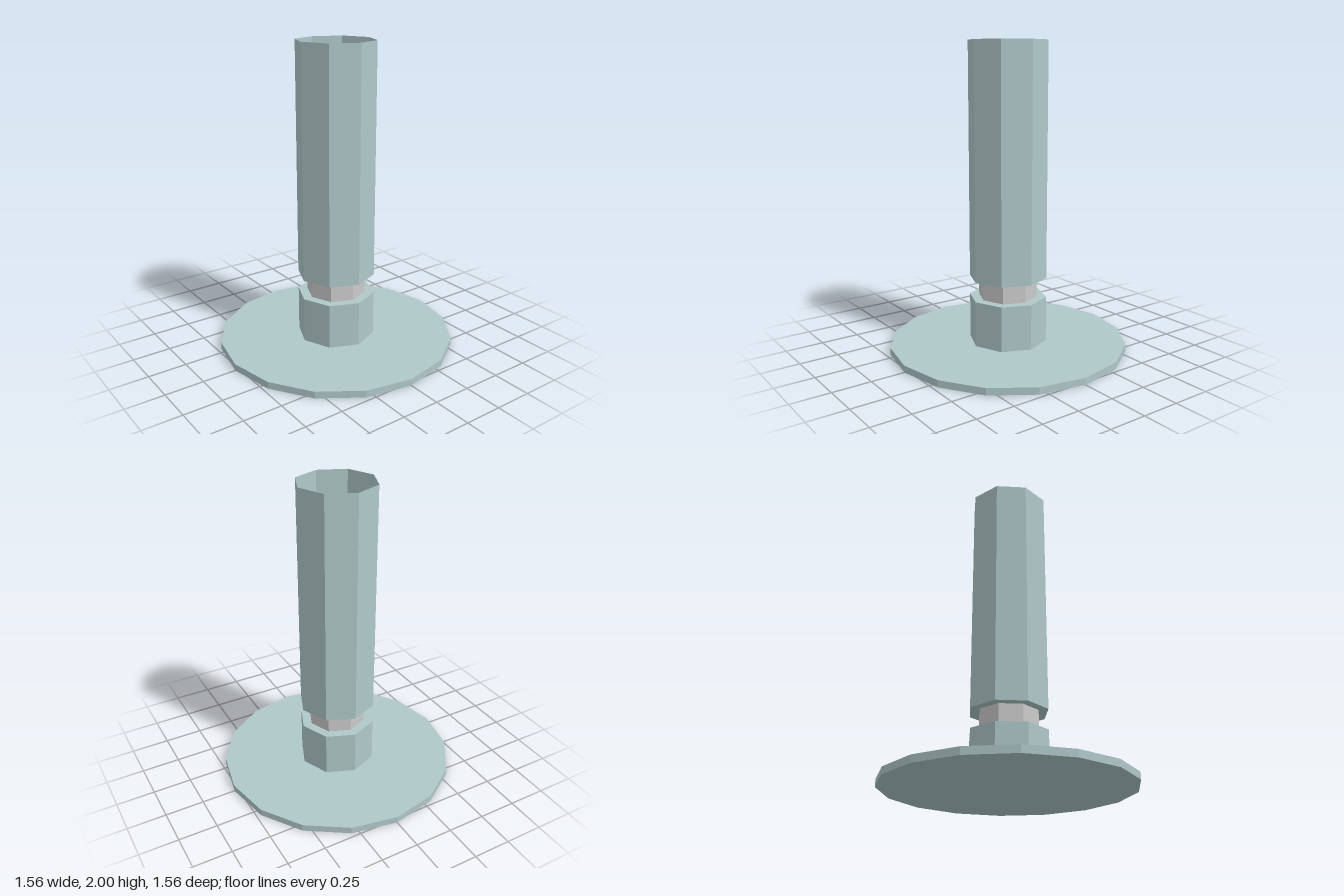
import * as THREE from 'three';

const PLATE_R = 0.78, TUBE_R = 0.255, NECK_R = 0.193;
const PLATE_TOP = 0.045, COLLAR_TOP = 0.343, TUBE_BOTTOM = 0.473, TUBE_TOP = 2;

const material = (color) =>
  new THREE.MeshStandardMaterial({ color, flatShading: true, side: THREE.DoubleSide });

// Eight-sided thin shell from a [radius, height] profile
function shell(name, profile, mat) {
  const points = profile.map(([r, y]) => new THREE.Vector2(r, y));
  const mesh = new THREE.Mesh(new THREE.LatheGeometry(points, 8), mat);
  mesh.name = name;
  return mesh;
}

export function createModel() {
  const model = new THREE.Group();
  model.name = 'tubeOnRoundBase';
  const teal = material(0xb0c8c9);
  const grey = material(0xcccccc);

  // Round base plate
  const plate = new THREE.Mesh(
    new THREE.CylinderGeometry(PLATE_R, PLATE_R, PLATE_TOP, 16), teal);
  plate.name = 'basePlate';
  plate.position.y = PLATE_TOP / 2;
  model.add(plate);

  model.add(
    // Collar with a ledge around the neck
    shell('collar', [[TUBE_R, PLATE_TOP], [TUBE_R, COLLAR_TOP], [NECK_R, COLLAR_TOP]], teal),
    // Recessed neck
    shell('neck', [[NECK_R, COLLAR_TOP], [NECK_R, TUBE_BOTTOM]], grey),
    // Tall tube, open at the top
    shell('tube', [[NECK_R, TUBE_BOTTOM], [TUBE_R, TUBE_BOTTOM], [TUBE_R, TUBE_TOP]], teal),
  );
  return model;
}
